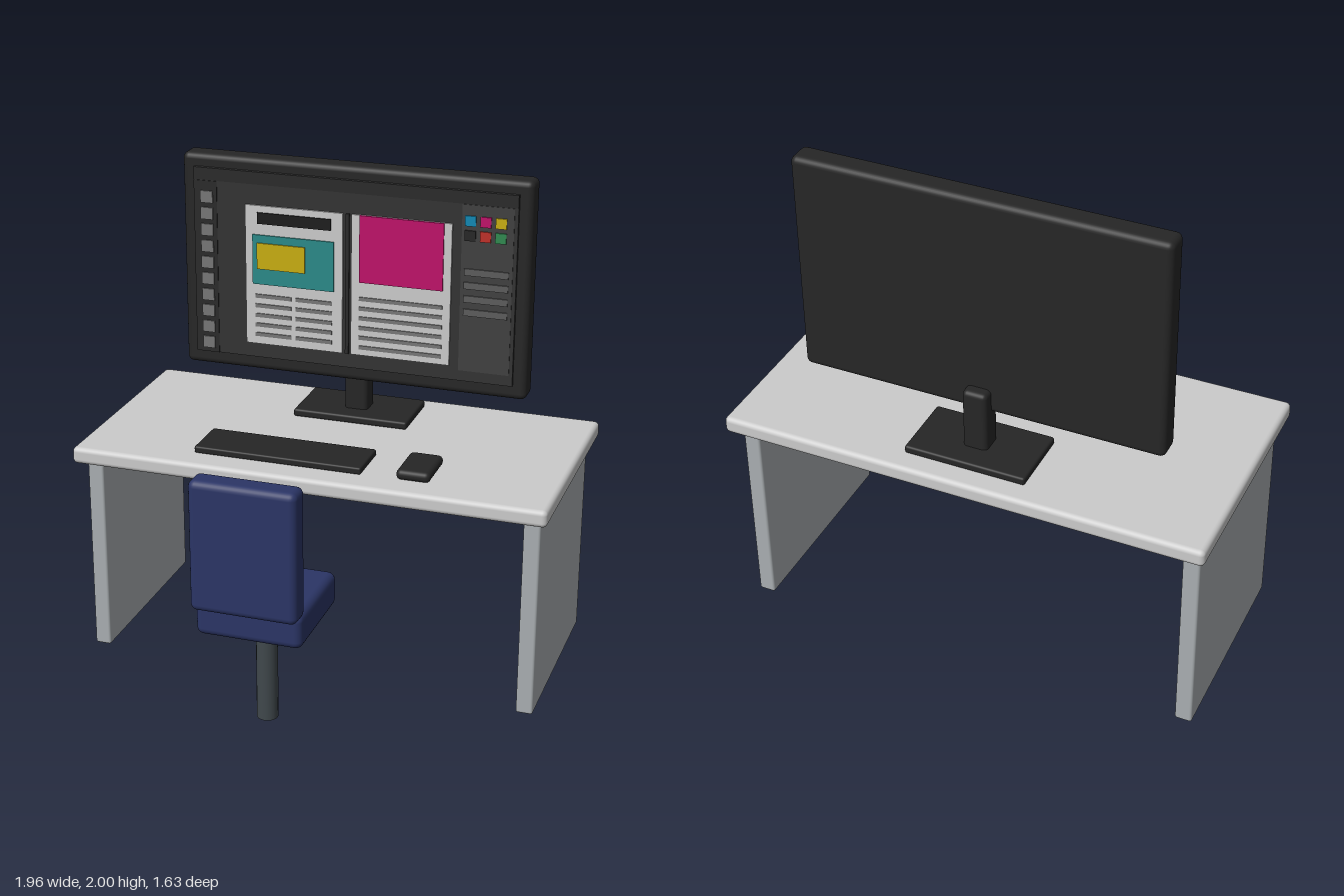
import * as THREE from 'three';
import { RoundedBoxGeometry } from 'three/addons/geometries/RoundedBoxGeometry.js';

const mat = (color) => new THREE.MeshStandardMaterial({ color });
const M = {
  top: mat(0xcccccc), leg: mat(0xa9aeb1), dark: mat(0x262626), navy: mat(0x2b3566), post: mat(0x40484c),
  screen: mat(0x333333), panel: mat(0x404040), bar: mat(0x2a2a2a), tool: mat(0x777777), slot: mat(0x5c5c5c),
  page: mat(0xd2d2d2), ink: mat(0x1c1c1c), text: mat(0x777777),
  teal: mat(0x2a8a88), yellow: mat(0xc8ae10), magenta: mat(0xbe1069),
  cyan: mat(0x1088b4), red: mat(0xc03028), green: mat(0x308a50),
};

export function createModel() {
  const root = new THREE.Group();
  const group = (name) => {
    const g = new THREE.Group();
    g.name = name;
    root.add(g);
    return g;
  };
  // Box given by its extents; r > 0 rounds the edges
  const box = (parent, name, [x0, x1], [y0, y1], [z0, z1], material, r = 0) => {
    const w = x1 - x0, h = y1 - y0, d = z1 - z0;
    const geo = r ? new RoundedBoxGeometry(w, h, d, 3, r) : new THREE.BoxGeometry(w, h, d);
    const mesh = new THREE.Mesh(geo, material);
    mesh.name = name;
    mesh.position.set((x0 + x1) / 2, (y0 + y1) / 2, (z0 + z1) / 2);
    parent.add(mesh);
    return mesh;
  };

  // Desk: top and two slab legs
  const desk = group('desk');
  box(desk, 'deskTop', [-0.98, 0.98], [0.845, 0.915], [-0.817, 0.165], M.top, 0.02);
  box(desk, 'leftLeg', [0.876, 0.944], [0, 0.845], [-0.745, 0.095], M.leg, 0.01);
  box(desk, 'rightLeg', [-0.944, -0.876], [0, 0.845], [-0.745, 0.095], M.leg, 0.01);

  // Keyboard and mouse
  box(root, 'keyboard', [-0.49, 0.21], [0.915, 0.944], [-0.155, 0.055], M.dark, 0.008);
  box(root, 'mouse', [0.352, 0.49], [0.915, 0.958], [-0.155, 0.057], M.dark, 0.02);

  // Chair: seat, back and post
  const chair = group('chair');
  box(chair, 'seat', [-0.21, 0.21], [0.495, 0.635], [0.342, 0.762], M.navy, 0.03);
  box(chair, 'backrest', [-0.21, 0.21], [0.62, 1.145], [0.71, 0.815], M.navy, 0.028);
  const post = new THREE.Mesh(new THREE.CylinderGeometry(0.042, 0.042, 0.425, 20), M.post);
  post.name = 'chairPost';
  post.position.set(0, 0.288, 0.555);
  chair.add(post);

  // Monitor body and stand
  const monitor = group('monitor');
  box(monitor, 'housing', [-0.735, 0.735], [1.093, 2], [-0.588, -0.482], M.dark, 0.025);
  box(monitor, 'standNeck', [-0.05, 0.05], [0.93, 1.197], [-0.635, -0.535], M.dark, 0.02);
  box(monitor, 'standBase', [-0.246, 0.246], [0.915, 0.948], [-0.73, -0.45], M.dark, 0.01);

  // Display: flat pieces stacked forward in thin layers
  const display = group('display');
  const layer = (name, xs, ys, front, material) =>
    box(display, name, xs, ys, [front - 0.008, front], material);
  box(display, 'screen', [-0.68, 0.68], [1.155, 1.947], [-0.49, -0.468], M.screen);
  layer('titleBar', [-0.68, 0.68], [1.895, 1.947], -0.465, M.bar);
  layer('toolStrip', [-0.68, -0.58], [1.155, 1.893], -0.465, M.bar);
  layer('sidePanel', [0.455, 0.665], [1.2, 1.893], -0.465, M.panel);
  for (let i = 0; i < 10; i++) {
    const y = 1.826 - i * 0.0697;
    layer('toolButton', [-0.65, -0.597], [y - 0.025, y + 0.025], -0.459, M.tool);
  }
  [M.cyan, M.magenta, M.yellow, M.dark, M.red, M.green].forEach((m, i) => {
    const x = 0.49 + (i % 3) * 0.062, y = 1.828 - Math.floor(i / 3) * 0.06;
    layer('swatch', [x - 0.022, x + 0.022], [y - 0.021, y + 0.021], -0.459, m);
  });
  for (let i = 0; i < 4; i++) {
    const y = 1.618 - i * 0.056;
    layer('panelSlot', [0.47, 0.65], [y - 0.014, y + 0.014], -0.459, M.slot);
  }

  // Document pages with blocks and text lines
  layer('leftPage', [-0.455, -0.037], [1.217, 1.81], -0.46, M.page);
  layer('rightPage', [0, 0.417], [1.217, 1.81], -0.46, M.page);
  layer('pageDivider', [-0.025, -0.01], [1.217, 1.81], -0.46, M.bar);
  layer('headline', [-0.402, -0.087], [1.735, 1.782], -0.454, M.ink);
  layer('tealBlock', [-0.423, -0.073], [1.478, 1.688], -0.454, M.teal);
  layer('yellowBlock', [-0.402, -0.195], [1.545, 1.655], -0.448, M.yellow);
  layer('magentaBlock', [0.035, 0.385], [1.53, 1.81], -0.454, M.magenta);
  const textLine = (x0, x1, y) => layer('textLine', [x0, x1], [y - 0.008, y + 0.008], -0.455, M.text);
  for (let i = 0; i < 5; i++) {
    textLine(-0.413, -0.256, 1.426 - i * 0.0417);
    textLine(-0.238, -0.08, 1.426 - i * 0.0417);
  }
  for (let i = 0; i < 6; i++) textLine(0.035, 0.385, 1.46 - i * 0.0417);

  return root;
}
